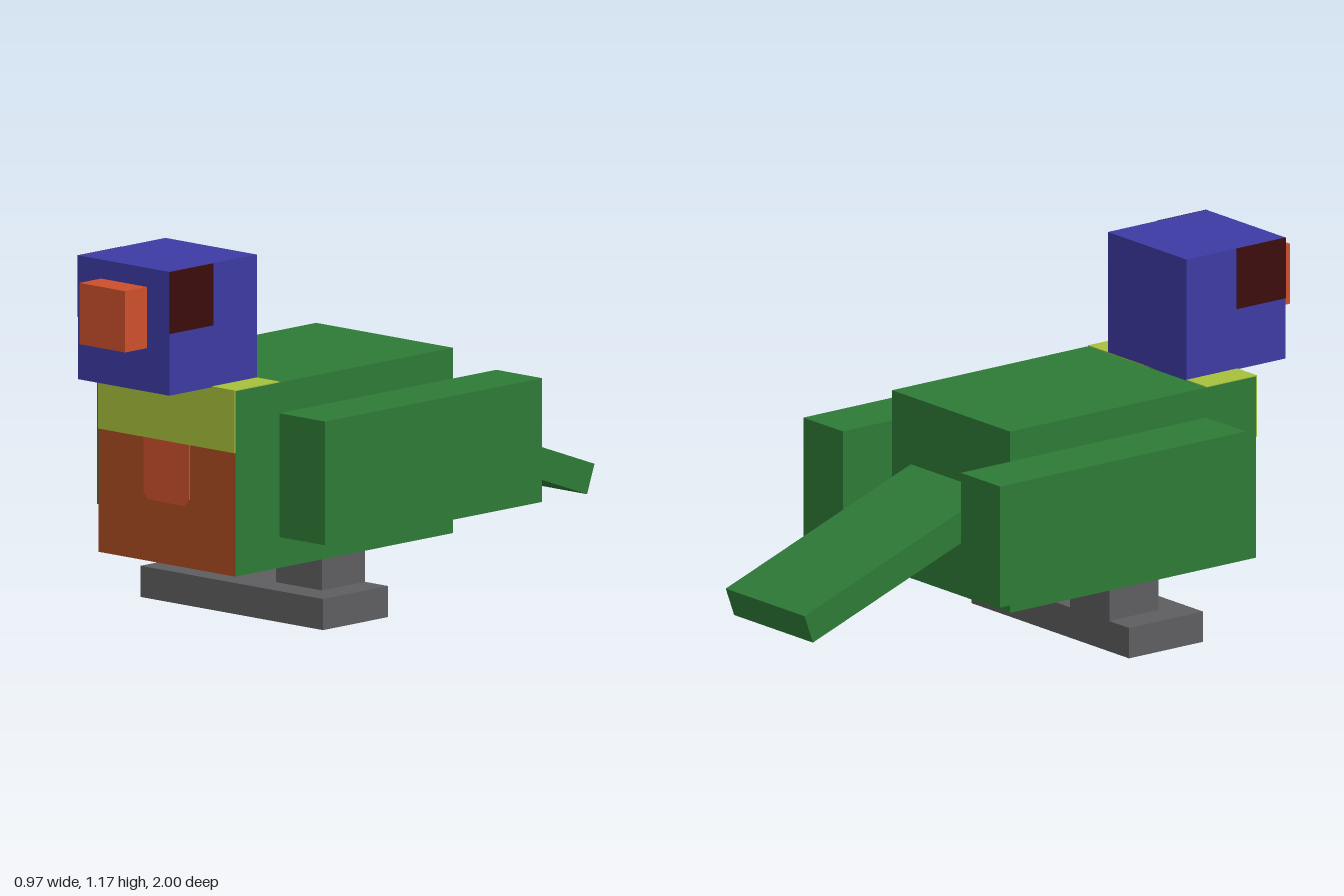
import * as THREE from 'three';

const paint = (name, color) => {
  const m = new THREE.MeshStandardMaterial({ color });
  m.name = name;
  return m;
};

export function createModel() {
  const green = paint('green', 0x2e7a36);
  const blue = paint('blue', 0x3d3aa3);
  const yellow = paint('yellowGreen', 0xa6c03b);
  const rust = paint('rust', 0xab4b22);
  const red = paint('orangeRed', 0xcc4f2d);
  const grey = paint('grey', 0x5e5e60);
  const dark = paint('darkEye', 0x3c0c0c);
  const navy = paint('navy', 0x22335d);

  const bird = new THREE.Group();
  bird.name = 'bird';

  // Box given by its extents on each axis
  const box = (name, material, [x0, x1], [y0, y1], [z0, z1]) => {
    const mesh = new THREE.Mesh(new THREE.BoxGeometry(x1 - x0, y1 - y0, z1 - z0), material);
    mesh.position.set((x0 + x1) / 2, (y0 + y1) / 2, (z0 + z1) / 2);
    mesh.name = name;
    bird.add(mesh);
    return mesh;
  };
  const t = 0.003; // thickness of painted plates

  // Body with rust breast and navy underside
  box('body', [green, green, green, navy, rust, green], [-0.292, 0.292], [0.196, 0.78], [-0.265, 0.71]);

  // Collar: band across the breast and shoulders
  box('collarFront', yellow, [-0.292, 0.292], [0.585, 0.78], [0.71, 0.71 + t]);
  box('collarTop', yellow, [-0.292, 0.292], [0.78, 0.78 + t], [0.512, 0.71 + t]);

  // Breast patch with clipped lower corners
  const patch = new THREE.Shape([
    [-0.098, 0.585], [-0.098, 0.412], [-0.078, 0.39],
    [0.078, 0.39], [0.098, 0.412], [0.098, 0.585],
  ].map(([x, y]) => new THREE.Vector2(x, y)));
  const breastPatch = new THREE.Mesh(
    new THREE.ExtrudeGeometry(patch, { depth: t, bevelEnabled: false }), red);
  breastPatch.position.z = 0.71;
  breastPatch.name = 'breastPatch';
  bird.add(breastPatch);

  // Head and beak
  box('head', blue, [-0.195, 0.195], [0.78, 1.17], [0.512, 0.903]);
  box('beak', red, [-0.098, 0.098], [0.917, 1.11], [0.903, 1]);

  // Paired parts; mirrored extents keep the order low to high
  for (const [side, s] of [['left', 1], ['right', -1]]) {
    const span = (a, b) => (s > 0 ? [a, b] : [-b, -a]);
    box(side + 'Eye', dark, span(0.195, 0.195 + t), [0.975, 1.17], [0.71, 0.903]);
    box(side + 'Wing', green, span(0.292, 0.487), [0.293, 0.683], [-0.46, 0.512]);
    box(side + 'Leg', grey, span(0.097, 0.292), [0.098, 0.196], [0.128, 0.322]);
    box(side + 'Foot', grey, span(0, 0.39), [0, 0.098], [0.128, 0.42]);
  }

  // Tail sloping down behind the body
  const tail = box('tail', green, [-0.195, 0.195], [0.337, 0.434], [-1.008, -0.228]);
  tail.rotation.x = -THREE.MathUtils.degToRad(20);

  return bird;
}
